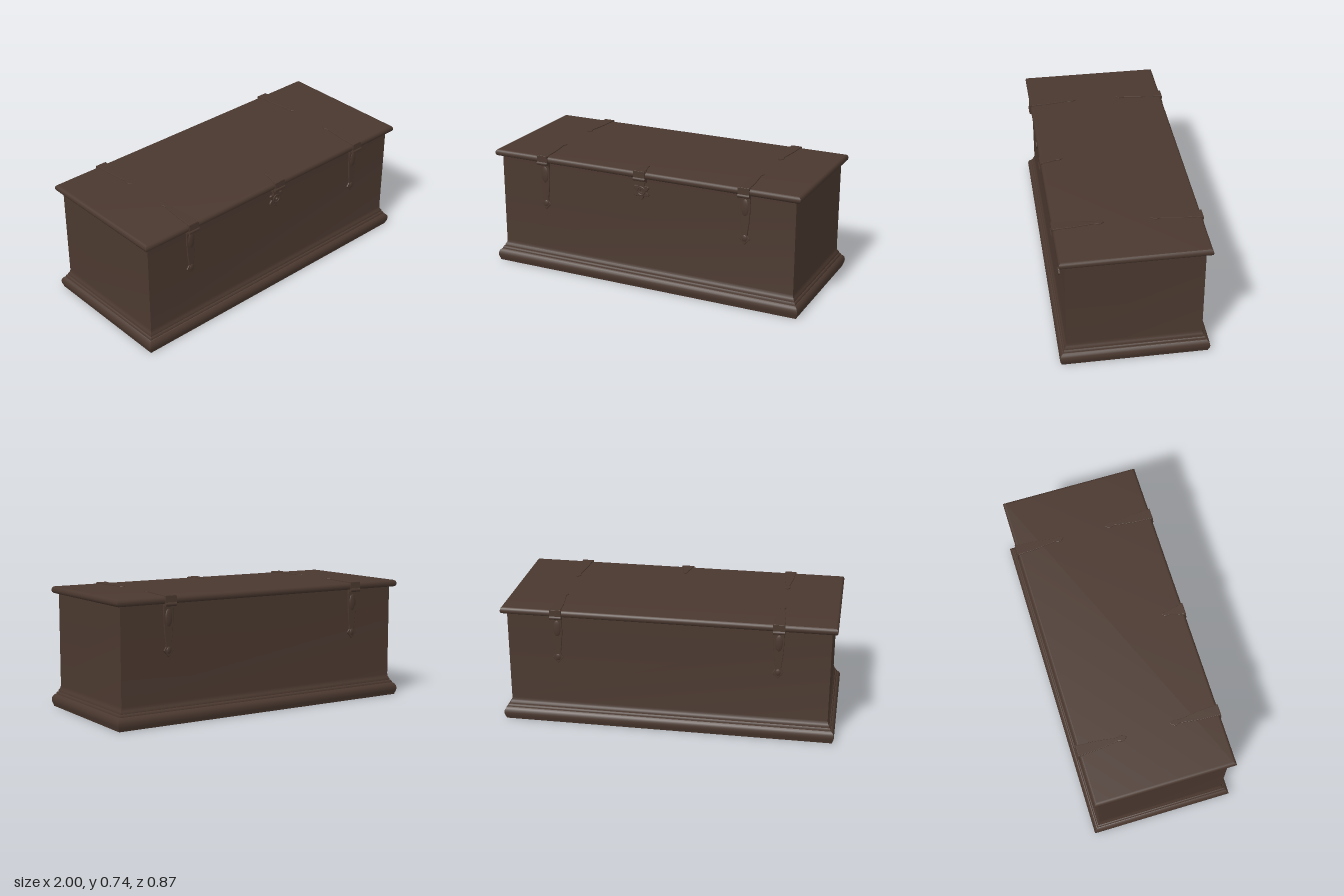
import * as THREE from 'three';
import { toCreasedNormals } from 'three/addons/utils/BufferGeometryUtils.js';

const HX = 0.957, HZ = 0.39; // half size of the box body

// Stacks rectangular rings; each profile point is [outward offset, height]
function rectLoft(profile) {
  const pos = [], idx = [];
  for (const [o, y] of profile) {
    const x = HX + o, z = HZ + o;
    pos.push(-x, y, z, x, y, z, x, y, -z, -x, y, -z);
  }
  for (let i = 0; i < profile.length - 1; i++) {
    for (let k = 0; k < 4; k++) {
      const a = i * 4 + k, b = i * 4 + (k + 1) % 4;
      idx.push(a, b, b + 4, a, b + 4, a + 4);
    }
  }
  const t = (profile.length - 1) * 4;
  idx.push(0, 2, 1, 0, 3, 2, t, t + 1, t + 2, t, t + 2, t + 3);
  const g = new THREE.BufferGeometry();
  g.setAttribute('position', new THREE.Float32BufferAttribute(pos, 3));
  g.setIndex(idx);
  return toCreasedNormals(g, 0.7);
}

// Bevelled plate, symmetric about x = 0, from [half width, position] points
function plate(points, depth, bevel) {
  const right = points.map(([w, y]) => new THREE.Vector2(w, y));
  const left = points.filter(([w]) => w > 0).reverse().map(([w, y]) => new THREE.Vector2(-w, y));
  return new THREE.ExtrudeGeometry(new THREE.Shape([...right, ...left]), {
    depth, bevelEnabled: true, bevelThickness: bevel, bevelSize: bevel,
    bevelOffset: -bevel, bevelSegments: 2,
  });
}

export function createModel() {
  const wood = new THREE.MeshStandardMaterial({ color: 0x4a382f });
  wood.name = 'darkWood';
  const model = new THREE.Group();
  model.name = 'chest';

  function add(parent, name, geometry, x = 0, y = 0, z = 0) {
    const mesh = new THREE.Mesh(geometry, wood);
    mesh.name = name;
    mesh.position.set(x, y, z);
    parent.add(mesh);
    return mesh;
  }

  // Body with stepped, rounded plinth
  add(model, 'bodyAndPlinth', rectLoft([
    [0.033, 0], [0.036, 0.012], [0.041, 0.025], [0.043, 0.04], [0.041, 0.054],
    [0.035, 0.066], [0.026, 0.074], [0.022, 0.076], [0.021, 0.084], [0.016, 0.09],
    [0.012, 0.091], [0.011, 0.1], [0.006, 0.108], [0.002, 0.116], [0, 0.13], [0, 0.695],
  ]));

  // Lid with rounded rim
  add(model, 'lid', rectLoft([
    [0.008, 0.69], [0.022, 0.691], [0.03, 0.697], [0.033, 0.706], [0.033, 0.714],
    [0.03, 0.724], [0.022, 0.731], [0.014, 0.732],
  ]));

  // Clip that wraps the lid rim, with a pin under it
  function rimClip(parent, width) {
    add(parent, 'rimClip', new THREE.BoxGeometry(width, 0.043, 0.03), 0, 0.7135, 0.413);
    add(parent, 'clipDrop', new THREE.BoxGeometry(width * 0.9, 0.03, 0.016), 0, 0.678, 0.398);
    const pin = add(parent, 'hingePin', new THREE.CylinderGeometry(0.012, 0.012, width, 14), 0, 0.688, 0.421);
    pin.rotation.z = Math.PI / 2;
  }

  // Long strap over the lid and down the wall
  function strap(x) {
    const g = new THREE.Group();
    g.name = 'strap';
    g.position.x = x;
    rimClip(g, 0.07);
    add(g, 'wallStrap', plate([
      [0, 0.385], [0.018, 0.405], [0.034, 0.422], [0.018, 0.444], [0.018, 0.46],
      [0.025, 0.51], [0.03, 0.58], [0.032, 0.69],
    ], 0.007, 0.003), 0, 0, 0.388);
    const boss = add(g, 'strapBoss', new THREE.SphereGeometry(0.018, 12, 8), 0, 0.425, 0.394);
    boss.scale.set(1, 1.3, 0.5);
    const rib = add(g, 'strapRib', new THREE.SphereGeometry(0.024, 14, 10), 0, 0.61, 0.395);
    rib.scale.set(1, 2.2, 0.4);
    const top = add(g, 'lidStrap', plate([
      [0, 0.13], [0.016, 0.15], [0.018, 0.165], [0.01, 0.185],
      [0.018, 0.24], [0.028, 0.32], [0.032, 0.425],
    ], 0.004, 0.002), 0, 0.736, 0);
    top.rotation.x = Math.PI / 2;
    return g;
  }

  for (const [name, turn] of [['frontStraps', 0], ['backStraps', Math.PI]]) {
    const side = new THREE.Group();
    side.name = name;
    side.rotation.y = turn;
    side.add(strap(-0.655), strap(0.655));
    model.add(side);
  }

  // Central clasp with a six-lobed lock plate
  const clasp = new THREE.Group();
  clasp.name = 'clasp';
  rimClip(clasp, 0.076);
  const tongue = add(clasp, 'claspTongue', plate([
    [0, 0.29], [0.015, 0.31], [0.012, 0.33], [0.025, 0.37], [0.034, 0.425],
  ], 0.004, 0.002), 0, 0.736, 0);
  tongue.rotation.x = Math.PI / 2;
  const lobes = [];
  for (let i = 0; i < 48; i++) {
    const a = i / 48 * Math.PI * 2;
    const r = 0.046 + 0.01 * Math.cos(6 * (a + Math.PI / 2));
    lobes.push(new THREE.Vector2(r * Math.cos(a), r * Math.sin(a)));
  }
  const keyhole = new THREE.Path().absarc(0, 0, 0.008, 0, Math.PI * 2, true);
  const lockShape = new THREE.Shape(lobes);
  lockShape.holes.push(keyhole);
  add(clasp, 'lockPlate', new THREE.ExtrudeGeometry(lockShape, {
    depth: 0.01, bevelEnabled: true, bevelThickness: 0.003, bevelSize: 0.003,
    bevelOffset: -0.003, bevelSegments: 2, curveSegments: 12,
  }), 0, 0.608, 0.388);
  add(clasp, 'lockRing', new THREE.TorusGeometry(0.024, 0.005, 8, 24), 0, 0.608, 0.4);
  add(clasp, 'claspNeck', new THREE.BoxGeometry(0.045, 0.045, 0.012), 0, 0.655, 0.395);
  model.add(clasp);

  return model;
}
